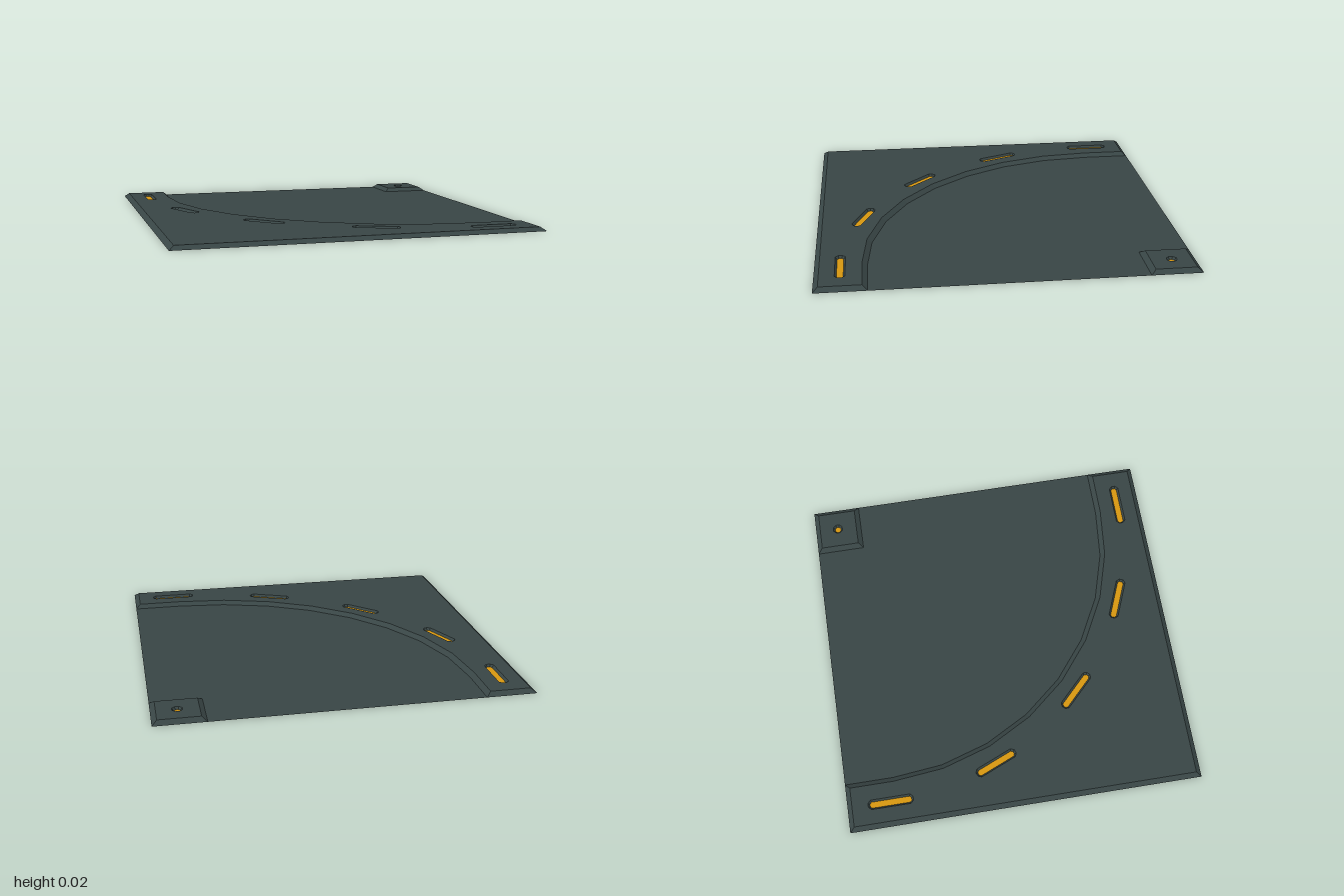
import * as THREE from 'three';

const plateMat = new THREE.MeshStandardMaterial({ color: 0x384545, side: THREE.DoubleSide });
plateMat.name = 'dark slate';
const lampMat = new THREE.MeshStandardMaterial({ color: 0xd6960f, side: THREE.DoubleSide });
lampMat.name = 'amber';

const TOP = 0.021, LAMP_Y = 0.008, BEVEL = 0.027, LANE = 0.725;

function addMesh(parent, name, geometry, material) {
  const mesh = new THREE.Mesh(geometry, material);
  mesh.name = name;
  parent.add(mesh);
}

// Flat horizontal face from [x, z] outlines
function face(outline, y, holes = []) {
  const toVec = ([x, z]) => new THREE.Vector2(x, -z);
  const shape = new THREE.Shape(outline.map(toVec));
  holes.forEach(h => shape.holes.push(new THREE.Path(h.map(toVec))));
  return new THREE.ShapeGeometry(shape).rotateX(-Math.PI / 2).translate(0, y, 0);
}

// Sloped wall between two matching outlines
function wall(low, yLow, high, yHigh) {
  const pos = [];
  low.forEach((a, i) => {
    const j = (i + 1) % low.length;
    const A = [a[0], yLow, a[1]], B = [low[j][0], yLow, low[j][1]];
    const C = [high[j][0], yHigh, high[j][1]], D = [high[i][0], yHigh, high[i][1]];
    pos.push(...A, ...B, ...C, ...A, ...C, ...D);
  });
  const g = new THREE.BufferGeometry();
  g.setAttribute('position', new THREE.Float32BufferAttribute(pos, 3));
  g.computeVertexNormals();
  return g;
}

// Faceted quarter bend, from the +x side round to the -z side
function bend(inset) {
  const points = [];
  for (let i = 8; i >= 0; i--) {
    const t = i * Math.PI / 16, r = 2 * LANE + inset;
    points.push([LANE - r * Math.cos(t), -LANE + r * Math.sin(t)]);
  }
  return points;
}

// Outer pad outline, moved inwards by i
const outerPad = i => [
  [-1 + i, -1 + i], [-1 + i, 1 - i], [1 - i, 1 - i], [1 - i, LANE + i],
  ...bend(i), [-LANE - i, -1 + i],
];

// Small corner pad outline, moved inwards by i
const cornerPad = i => [
  [LANE + i, -1 + i], [LANE + i, -LANE - i], [1 - i, -LANE - i], [1 - i, -1 + i],
];

// Eight-sided slot outline
function slot({ x, z, angle, length }, grow) {
  const r = (0.017 + grow) / Math.cos(Math.PI / 8), half = length / 2 - 0.017;
  const c = Math.cos(angle), s = Math.sin(angle);
  return Array.from({ length: 8 }, (_, k) => {
    const t = (k + 0.5) * Math.PI / 4;
    const u = r * Math.cos(t) + Math.sign(Math.cos(t)) * half, v = r * Math.sin(t);
    return [x + u * c - v * s, z + u * s + v * c];
  });
}

// Raised bevelled pad with sunken lamps
function pad(name, outline, lamps) {
  const group = new THREE.Group();
  group.name = name;
  const rim = 0.01;
  addMesh(group, name + 'Bevel', wall(outline(0), 0, outline(BEVEL), TOP), plateMat);
  addMesh(group, name + 'Top', face(outline(BEVEL), TOP, lamps.map(l => slot(l, rim))), plateMat);
  lamps.forEach(l => {
    addMesh(group, 'lampRecess', wall(slot(l, 0), LAMP_Y, slot(l, rim), TOP), plateMat);
    addMesh(group, 'lamp', face(slot(l, 0), LAMP_Y), lampMat);
  });
  return group;
}

export function createModel() {
  const model = new THREE.Group();
  model.name = 'curvedLaneTile';

  // Low lane floor between the pads
  const lane = [...bend(0), [-LANE, -1], [LANE, -1], [LANE, -LANE], [1, -LANE], [1, LANE]];
  addMesh(model, 'laneFloor', face(lane, 0), plateMat);

  // Marker lamps following the bend
  const lamps = [
    [-0.865, -0.755, 90], [-0.74, -0.137, 67.5], [-0.39, 0.39, 45],
    [0.137, 0.74, 22.5], [0.755, 0.865, 0],
  ].map(([x, z, deg]) => ({ x, z, angle: THREE.MathUtils.degToRad(deg), length: 0.235 }));
  model.add(pad('outerPad', outerPad, lamps));

  // Inner corner with a single dot lamp
  model.add(pad('cornerPad', cornerPad, [{ x: 0.865, z: -0.865, angle: 0, length: 0.034 }]));
  return model;
}
